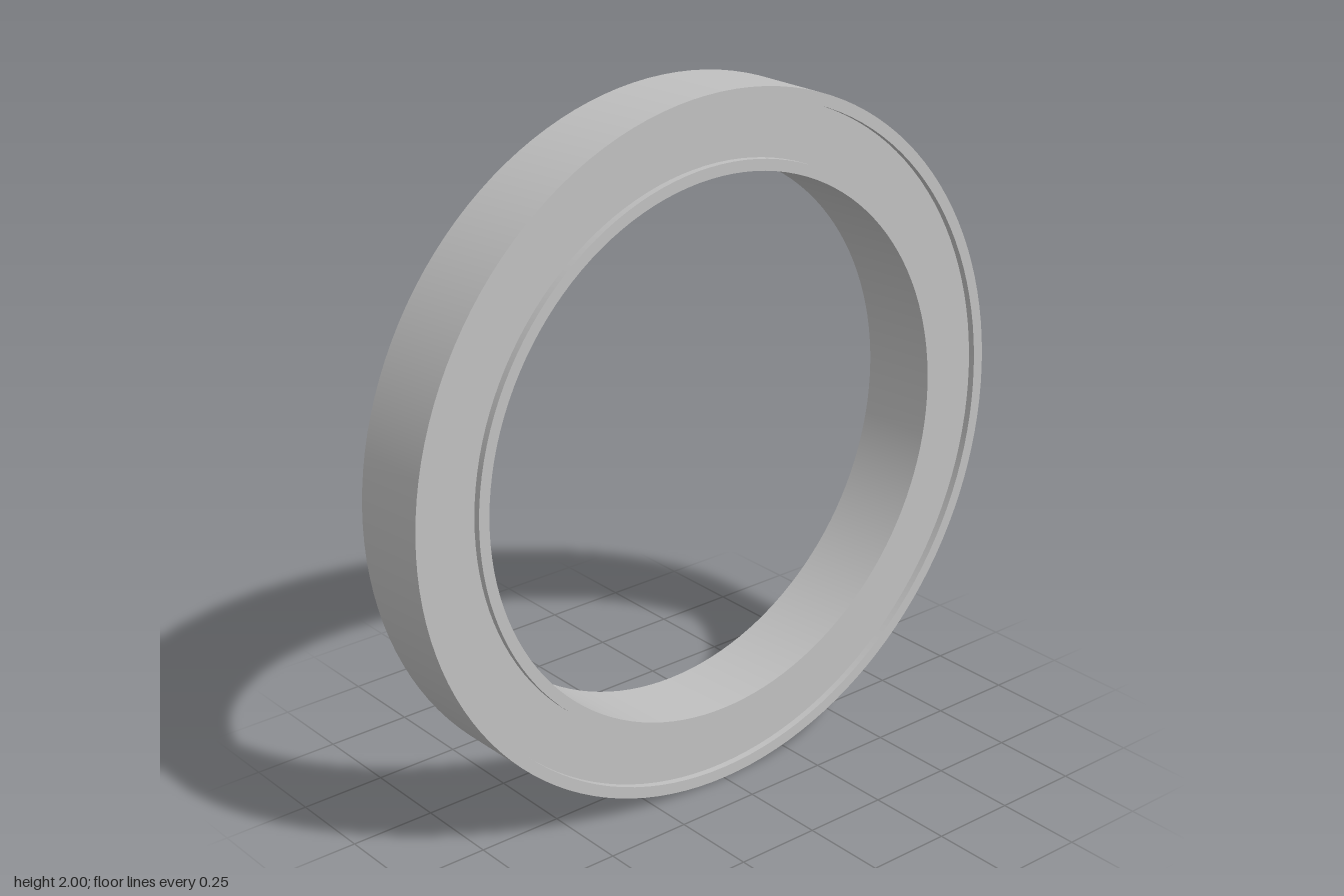
import * as THREE from 'three';
import { toCreasedNormals } from 'three/addons/utils/BufferGeometryUtils.js';

const HALF_WIDTH = 0.119;
const RECESS = 0.02;
const TILT = 0.0133;

// Ring of rectangular section around the x axis
function ring(name, inner, outer, x0, x1, material) {
  const profile = [[inner, x0], [outer, x0], [outer, x1], [inner, x1], [inner, x0]]
    .map(([r, x]) => new THREE.Vector2(r, x));
  const geometry = toCreasedNormals(new THREE.LatheGeometry(profile, 128), 0.6);
  geometry.rotateZ(-Math.PI / 2);
  const mesh = new THREE.Mesh(geometry, material);
  mesh.name = name;
  return mesh;
}

export function createModel() {
  const steel = new THREE.MeshStandardMaterial({ color: 0xc0c0c0 });
  steel.name = 'steel grey';

  const bearing = new THREE.Group();
  bearing.name = 'bearing';

  // Outer and inner races
  bearing.add(ring('outerRace', 0.965, 0.9984, -HALF_WIDTH, HALF_WIDTH, steel));
  bearing.add(ring('innerRace', 0.775, 0.807, -HALF_WIDTH, HALF_WIDTH, steel));

  // Recessed shields on both sides
  for (const side of [-1, 1]) {
    const face = side * (HALF_WIDTH - RECESS);
    const back = face - side * 0.02;
    bearing.add(ring(side > 0 ? 'leftShield' : 'rightShield', 0.807, 0.965,
      Math.min(face, back), Math.max(face, back), steel));
  }

  // Slight lean, standing on the ground
  bearing.rotation.z = TILT;
  bearing.position.y = 1;

  const model = new THREE.Group();
  model.name = 'thinSectionBearing';
  model.add(bearing);
  return model;
}
